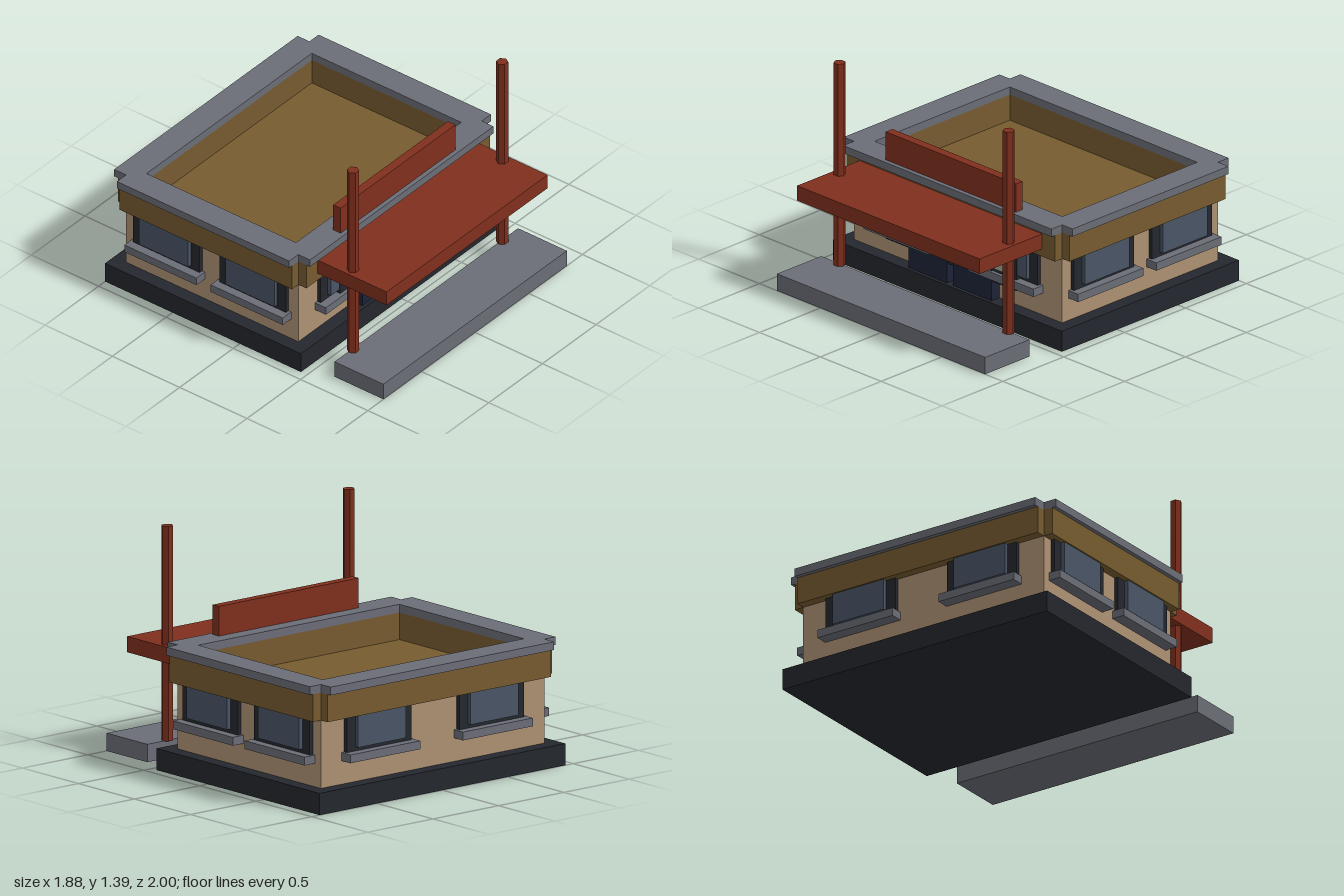
import * as THREE from 'three';

const mat = (color) => new THREE.MeshStandardMaterial({ color, flatShading: true });
const M = {
  base: mat(0x24272e), stone: mat(0x6b6d77), wall: mat(0xae9274), band: mat(0x765b2f),
  red: mat(0x802f1d), glass: mat(0x4a5566), door: mat(0x1e2438), plate: mat(0xa8a392),
};
const ZC = -0.2725;             // centre of the building in z
const WALL_X = 0.855, WALL_Z = 0.64; // half sizes of the walls

function add(parent, name, geometry, material) {
  const mesh = new THREE.Mesh(geometry, material);
  mesh.name = name;
  parent.add(mesh);
  return mesh;
}

// Box given by its limits on each axis
function box(parent, name, material, [x0, x1], [y0, y1], [z0, z1]) {
  const mesh = add(parent, name, new THREE.BoxGeometry(x1 - x0, y1 - y0, z1 - z0), material);
  mesh.position.set((x0 + x1) / 2, (y0 + y1) / 2, (z0 + z1) / 2);
  return mesh;
}

// Rectangular ring with notched outer corners, lying flat
function notchedRing(parent, name, material, hx, hz, y0, y1) {
  const quarter = [[hx, WALL_Z], [WALL_X, WALL_Z], [WALL_X, hz]];
  const flipped = [...quarter].reverse();
  const outline = [
    ...quarter,
    ...flipped.map(([x, z]) => [-x, z]),
    ...quarter.map(([x, z]) => [-x, -z]),
    ...flipped.map(([x, z]) => [x, -z]),
  ];
  const shape = new THREE.Shape(outline.map(([x, z]) => new THREE.Vector2(x, z)));
  const hole = [[0.77, 0.555], [0.77, -0.555], [-0.77, -0.555], [-0.77, 0.555]];
  shape.holes.push(new THREE.Path(hole.map(([x, z]) => new THREE.Vector2(x, z))));
  const geometry = new THREE.ExtrudeGeometry(shape, { depth: y1 - y0, bevelEnabled: false });
  geometry.rotateX(-Math.PI / 2);
  add(parent, name, geometry, material).position.set(0, y0, ZC);
}

// Window facing +z, standing on the wall plane z = 0
function makeWindow() {
  const g = new THREE.Group();
  g.name = 'window';
  box(g, 'windowFrame', M.base, [-0.2475, 0.2475], [0.31, 0.55], [-0.01, 0.025]);
  box(g, 'windowGlass', M.glass, [-0.1825, 0.1825], [0.345, 0.55], [0, 0.05]);
  box(g, 'windowSill', M.stone, [-0.2675, 0.2675], [0.27, 0.32], [-0.01, 0.08]);
  return g;
}

export function createModel() {
  const model = new THREE.Group();
  model.name = 'building';

  // Foundation, front step and walls
  box(model, 'foundation', M.base, [-0.94, 0.94], [0, 0.13], [-1, 0.455]);
  box(model, 'frontStep', M.stone, [-0.855, 0.855], [0, 0.107], [0.637, 1]);
  box(model, 'walls', M.wall, [-WALL_X, WALL_X], [0.13, 0.537], [ZC - WALL_Z, ZC + WALL_Z]);

  // Roof: recessed deck, parapet and coping
  box(model, 'roofDeck', M.band, [-0.8, 0.8], [0.52, 0.541], [ZC - 0.58, ZC + 0.58]);
  notchedRing(model, 'parapet', M.band, 0.915, 0.70, 0.537, 0.703);
  notchedRing(model, 'coping', M.stone, 0.94, 0.7275, 0.703, 0.752);

  // Two windows on each of the four sides
  for (let side = 0; side < 4; side++) {
    const wall = new THREE.Group();
    wall.name = ['frontWindows', 'leftWindows', 'backWindows', 'rightWindows'][side];
    wall.position.z = ZC;
    wall.rotation.y = side * Math.PI / 2;
    const lateral = side % 2;
    for (const s of [-1, 1]) {
      const w = makeWindow();
      w.position.set(s * (lateral ? 0.3205 : 0.4305), 0, lateral ? WALL_X : WALL_Z);
      wall.add(w);
    }
    model.add(wall);
  }

  // Entrance: panel with a pale strip, double doors and lintel
  box(model, 'entrancePanel', M.base, [-0.535, 0.535], [0.25, 0.485], [0.36, 0.424]);
  box(model, 'paleStrip', M.plate, [-0.455, 0.455], [0.34, 0.39], [0.4, 0.429]);
  for (const s of [-1, 1]) {
    box(model, 'door', M.door, [s * 0.1825 - 0.1575, s * 0.1825 + 0.1575], [0.13, 0.56], [0.36, 0.433]);
  }
  box(model, 'lintel', M.red, [-0.365, 0.365], [0.56, 0.6], [0.36, 0.436]);

  // Canopy on hexagonal posts, and the board on the parapet
  box(model, 'canopy', M.red, [-0.75, 0.75], [0.585, 0.68], [0.4, 0.94]);
  box(model, 'roofBoard', M.red, [-0.535, 0.535], [0.74, 0.93], [0.372, 0.427]);
  for (const s of [-1, 1]) {
    const geometry = new THREE.CylinderGeometry(0.036, 0.036, 1.285, 6);
    geometry.rotateY(Math.PI / 6);
    add(model, 'post', geometry, M.red).position.set(s * 0.695, 0.7475, 0.647);
  }

  return model;
}
